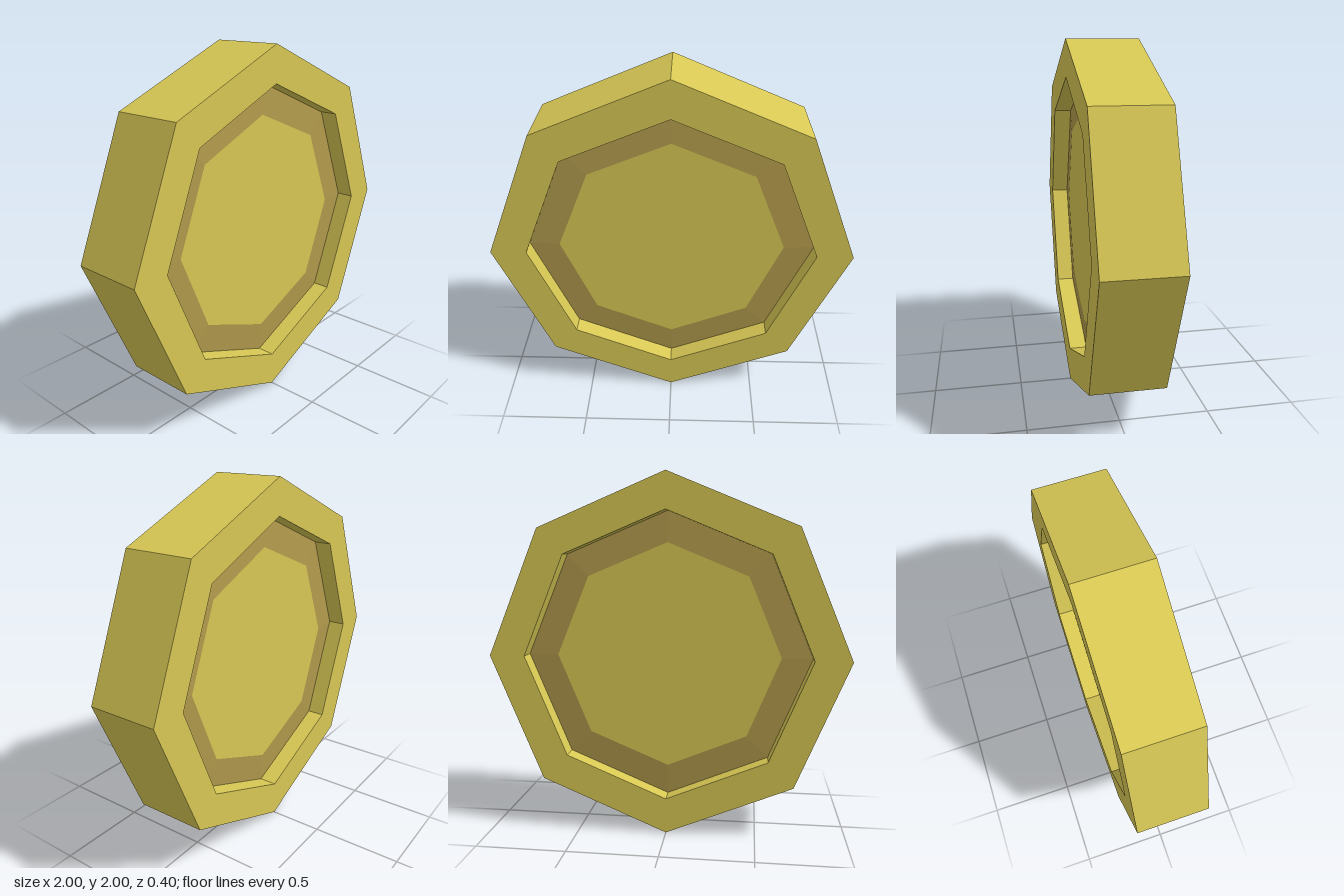
import * as THREE from 'three';

const SIDES = 8;
const DEPTH = 0.4;      // full thickness of the rim
const FLOOR = 0.1;      // height of the recessed floor at its outer edge
const RISE = 0.01;      // gentle rise of the border band
const R_OUT = 1, R_IN = 0.8, R_FACE = 0.63;

const gold = new THREE.MeshStandardMaterial({ color: 0xd8c854, flatShading: true });
const bronze = new THREE.MeshStandardMaterial({ color: 0xb29a4c, flatShading: true });

// Corners of a regular octagon with a corner on each axis
function octagon(radius) {
  return Array.from({ length: SIDES }, (_, i) => {
    const a = (i / SIDES) * Math.PI * 2;
    return new THREE.Vector2(Math.cos(a) * radius, Math.sin(a) * radius);
  });
}

function addMesh(parent, name, geometry, material) {
  const mesh = new THREE.Mesh(geometry, material);
  mesh.name = name;
  parent.add(mesh);
  return mesh;
}

// One recessed side of the coin, facing +z
function createSide(name) {
  const side = new THREE.Group();
  side.name = name;

  // Darker sloping border
  const band = new THREE.CylinderGeometry(R_FACE, R_IN, RISE, SIDES, 1, true);
  band.rotateX(Math.PI / 2);
  addMesh(side, 'borderBand', band, bronze).position.z = FLOOR + RISE / 2;

  // Flat centre
  const face = new THREE.CircleGeometry(R_FACE, SIDES);
  addMesh(side, 'centreFace', face, gold).position.z = FLOOR + RISE;
  return side;
}

export function createModel() {
  const coin = new THREE.Group();
  coin.name = 'coin';

  // Octagonal rim
  const outline = new THREE.Shape(octagon(R_OUT));
  outline.holes.push(new THREE.Path(octagon(R_IN)));
  const rim = new THREE.ExtrudeGeometry(outline, { depth: DEPTH, bevelEnabled: false });
  rim.translate(0, 0, -DEPTH / 2);
  addMesh(coin, 'rim', rim, gold);

  // Matching recessed sides
  const back = createSide('backSide');
  back.rotation.y = Math.PI;
  coin.add(createSide('frontSide'), back);

  coin.position.y = R_OUT;
  const model = new THREE.Group();
  model.name = 'octagonalCoin';
  model.add(coin);
  return model;
}
